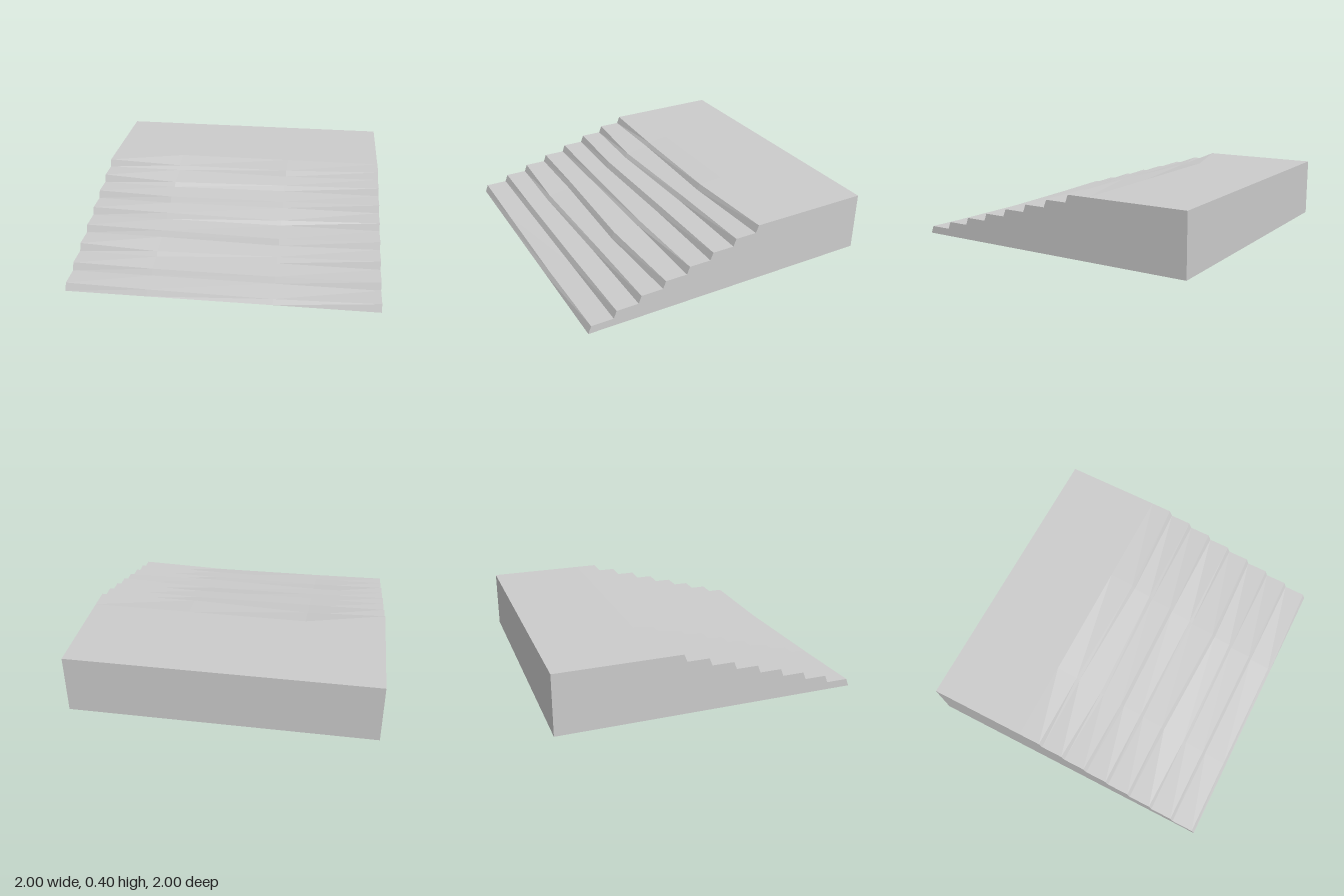
import * as THREE from 'three';

// Worn-stair layout: columns across the width, one row per step
const COLUMNS = [-1, -0.47, 0.33, 1];
const RISE = 0.05, RUN = 1 / 6, SLOPE = 0.01;
// Wear at the two inner columns: [riser shift z, z, nose sag y, y]
const WEAR = [
  [0, 0, 0.01, 0.018],
  [0, 0, 0.01, 0.01],
  [0.012, 0, 0.02, 0.014],
  [0, 0.025, 0.01, 0.008],
  [0, 0, 0.012, 0.022],
  [0.015, 0, 0.01, 0.01],
  [0.023, 0, 0.021, 0.015],
  [0, 0.025, 0.021, 0.01],
];

// Profile of one column, from the front foot over the steps to the back floor
function section(column) {
  const x = COLUMNS[column];
  const inner = column === 1 || column === 2;
  const points = [];
  WEAR.forEach((wear, k) => {
    const z = 0.99 - RUN * k + (inner ? wear[column - 1] : 0);
    const sag = inner ? wear[column + 1] : 0;
    points.push([x, RISE * k, z + SLOPE], [x, RISE * (k + 1) - sag, z - SLOPE]);
  });
  const top = RISE * WEAR.length;
  points.push([x, top, -1 / 3], [x, top, -1], [x, 0, -1]);
  return points;
}

export function createModel() {
  const group = new THREE.Group();
  const positions = [];
  const quad = (a, b, c, d) => positions.push(...a, ...b, ...c, ...a, ...c, ...d);
  const sections = COLUMNS.map((_, i) => section(i));

  // Treads, risers, landing, back and underside
  for (let s = 0; s < sections.length - 1; s++) {
    const a = sections[s], b = sections[s + 1];
    for (let i = 0; i < a.length; i++) {
      const j = (i + 1) % a.length;
      quad(a[i], b[i], b[j], a[j]);
    }
  }

  // Side walls, in strips down to the floor
  const floor = (p) => [p[0], 0, p[2]];
  for (const [wall, left] of [[sections[0], false], [sections[3], true]]) {
    for (let i = 0; i < wall.length - 2; i++) {
      const p = wall[i], q = wall[i + 1];
      if (left) quad(floor(p), floor(q), q, p);
      else quad(p, q, floor(q), floor(p));
    }
  }

  const geometry = new THREE.BufferGeometry();
  geometry.setAttribute('position', new THREE.Float32BufferAttribute(positions, 3));
  geometry.computeVertexNormals();
  const stairs = new THREE.Mesh(
    geometry,
    new THREE.MeshStandardMaterial({ color: 0xcccccc, flatShading: true })
  );
  stairs.name = 'wornStairsWithLanding';
  group.add(stairs);
  return group;
}
